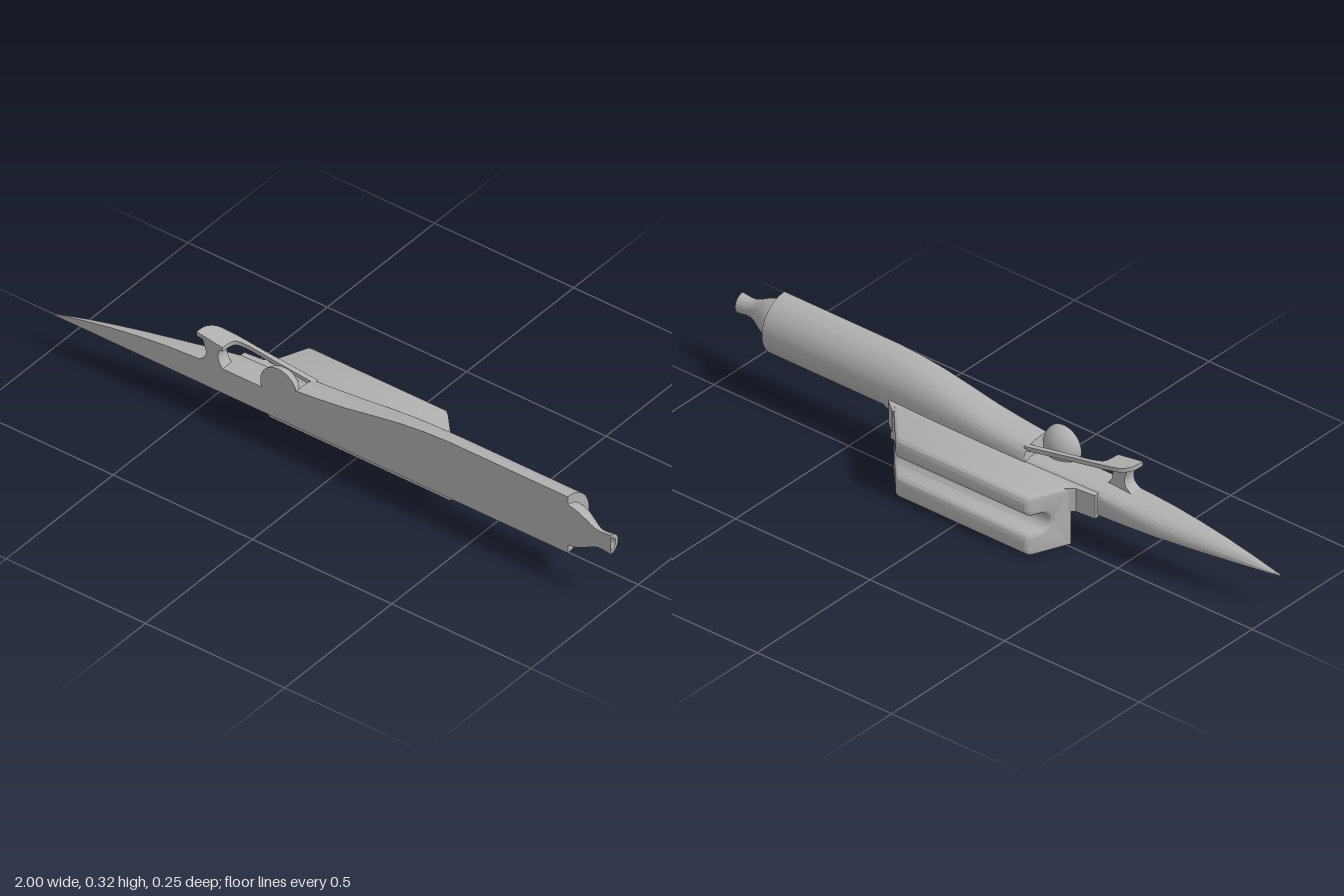
import * as THREE from 'three';
import { toCreasedNormals } from 'three/addons/utils/BufferGeometryUtils.js';

const CUT = 0.127; // flat centre plane of the half hull
const BASE = 0.117;

// hull stations: x, top y, half width, height of widest line, upper and lower roundness
const stations = [
  [-1.0, 0.122, 0.003, 0.119, 2, 4],
  [-0.9, 0.145, 0.026, 0.125, 2, 5],
  [-0.8, 0.165, 0.046, 0.13, 2, 6],
  [-0.7, 0.181, 0.064, 0.135, 2.1, 7],
  [-0.6, 0.193, 0.08, 0.14, 2.3, 8],
  [-0.5, 0.2, 0.092, 0.15, 3, 8],
  [-0.4, 0.204, 0.1, 0.155, 5, 8],
  [-0.136, 0.204, 0.103, 0.155, 7, 8],
  [-0.13, 0.246, 0.103, 0.17, 3.6, 8],
  [-0.05, 0.254, 0.104, 0.175, 3.4, 8],
  [0.05, 0.267, 0.104, 0.185, 3.1, 8],
  [0.15, 0.286, 0.104, 0.195, 2.7, 8],
  [0.25, 0.303, 0.103, 0.205, 2.3, 7],
  [0.33, 0.312, 0.101, 0.213, 2.1, 5],
  [0.42, 0.317, 0.1, 0.217, 2, 2],
  [0.845, 0.317, 0.1, 0.217, 2, 2],
];

// engine end: radius, x
const nozzle = [[0.1, 0.845], [0.071, 0.845], [0.069, 0.865], [0.062, 0.885], [0.05, 0.91],
  [0.038, 0.932], [0.031, 0.95], [0.03, 0.97], [0.034, 1], [0.022, 1], [0.02, 0.975], [0, 0.975]];

function hullGeometry() {
  const N = 40, pos = [], idx = [];
  for (const [x, top, w, mid, n, m] of stations) {
    for (let j = 0; j <= N; j++) {
      const a = (j / N) * Math.PI, c = Math.cos(a), s = Math.abs(Math.sin(a));
      const e = 2 / (c >= 0 ? n : m);
      const h = Math.pow(Math.abs(c), e);
      pos.push(x, c >= 0 ? mid + (top - mid) * h : mid - (mid - BASE) * h, CUT - w * Math.pow(s, e));
    }
  }
  for (let i = 0; i < stations.length - 1; i++) {
    for (let j = 0; j < N; j++) {
      const a = i * (N + 1) + j, b = a + N + 1;
      idx.push(a, b, a + 1, b, b + 1, a + 1);
    }
  }
  const g = new THREE.BufferGeometry();
  g.setAttribute('position', new THREE.Float32BufferAttribute(pos, 3));
  g.setIndex(idx);
  return toCreasedNormals(g, 0.6);
}

// flat side face following the hull and nozzle outline
function cutFaceGeometry() {
  const pts = stations.map(([x, top]) => new THREE.Vector2(x, top));
  const tail = nozzle.slice(1, 9);
  tail.forEach(([r, x]) => pts.push(new THREE.Vector2(x, 0.217 + r)));
  tail.reverse().forEach(([r, x]) => pts.push(new THREE.Vector2(x, 0.217 - r)));
  pts.push(new THREE.Vector2(0.845, BASE), new THREE.Vector2(-1, BASE));
  return new THREE.ShapeGeometry(new THREE.Shape(pts)).translate(0, 0, CUT);
}

// C-shaped section swept along x, with slanted ends
function podGeometry() {
  const b = 0.012, s = new THREE.Shape();
  const L = -0.012 + b, R = 0.125 - b, B = b, T = 0.197 - b;
  const n0 = 0.073 - b, n1 = 0.133 + b, r = 0.012;
  s.moveTo(L, B);
  s.lineTo(R - r, B);
  s.quadraticCurveTo(R, B, R, B + r);
  s.lineTo(R, n0 - r);
  s.quadraticCurveTo(R, n0, R - r, n0);
  s.lineTo(0.08, n0);
  s.bezierCurveTo(0.026, n0 + 0.005, 0.026, n1 - 0.005, 0.08, n1);
  s.lineTo(R - r, n1);
  s.quadraticCurveTo(R, n1, R, n1 + r);
  s.lineTo(R, T - r);
  s.quadraticCurveTo(R, T, R - r, T);
  s.lineTo(L, T);
  s.closePath();
  const len = 0.67;
  const g = new THREE.ExtrudeGeometry(s, {
    depth: len - 2 * b, bevelEnabled: true, bevelSize: b, bevelThickness: b, bevelSegments: 4, curveSegments: 10,
  });
  g.translate(0, 0, b).rotateY(Math.PI / 2);
  const p = g.attributes.position;
  for (let i = 0; i < p.count; i++) {
    const k = (0.012 - p.getZ(i)) / 0.137;
    p.setX(i, THREE.MathUtils.lerp(-0.325 + 0.06 * k, 0.345 - 0.125 * k, p.getX(i) / len));
  }
  return toCreasedNormals(g, 0.7);
}

// plan outline (x, z) extruded upwards
function planExtrude(points, height) {
  const s = new THREE.Shape(points.map(([x, z]) => new THREE.Vector2(x, -z)));
  return new THREE.ExtrudeGeometry(s, { depth: height, bevelEnabled: false }).rotateX(-Math.PI / 2);
}

export function createModel() {
  const group = new THREE.Group();
  const grey = new THREE.MeshStandardMaterial({ color: 0xb0b0b0, side: THREE.DoubleSide });
  grey.name = 'hull grey';
  const add = (name, geometry) => {
    const m = new THREE.Mesh(geometry, grey);
    m.name = name;
    group.add(m);
    return m;
  };

  add('hull', hullGeometry());
  add('hullSideFace', cutFaceGeometry());

  // half nozzle with the rim of the engine tube
  const lathe = new THREE.LatheGeometry(nozzle.map(([r, x]) => new THREE.Vector2(r, x)), 32, Math.PI / 2, Math.PI);
  add('nozzle', toCreasedNormals(lathe.rotateZ(-Math.PI / 2).translate(0, 0.217, CUT), 0.6));

  // side pod and the collar joining it to the hull
  add('sidePod', podGeometry());
  add('podCollar', planExtrude([[-0.4, 0.06], [-0.4, 0.018], [-0.335, 0.012], [-0.31, -0.01],
    [0.33, -0.01], [0.37, 0.022], [0.4, 0.06]], 0.078).translate(0, BASE, 0));
  const fillet = new THREE.Shape();
  fillet.moveTo(-0.035, BASE + 0.004);
  fillet.quadraticCurveTo(-0.016, BASE, -0.01, 0.098);
  fillet.lineTo(0.01, 0.098);
  fillet.lineTo(0.01, BASE + 0.004);
  add('podFillet', new THREE.ExtrudeGeometry(fillet, { depth: 0.65, bevelEnabled: false })
    .rotateY(Math.PI / 2).translate(-0.315, 0, 0));

  // half headrest dome with its flat side
  const dome = add('headrest', new THREE.SphereGeometry(0.065, 24, 18, Math.PI, Math.PI));
  dome.position.set(-0.194, 0.23, CUT);
  dome.scale.z = 0.8;
  add('headrestFace', new THREE.CircleGeometry(0.065, 32)).position.set(-0.194, 0.23, CUT);

  // sloping cockpit hoop
  const outer = new THREE.CatmullRomCurve3([[-0.488, CUT], [-0.484, 0.09], [-0.465, 0.067], [-0.42, 0.057],
    [-0.3, 0.05], [-0.12, 0.038]].map(([x, z]) => new THREE.Vector3(x, 0, z)));
  const inner = new THREE.CatmullRomCurve3([[-0.12, 0.056], [-0.25, 0.063], [-0.36, 0.069], [-0.387, 0.08],
    [-0.395, CUT]].map(([x, z]) => new THREE.Vector3(x, 0, z)));
  const ring = [...outer.getPoints(24), ...inner.getPoints(24)].map((v) => [v.x, v.z]);
  const hoop = planExtrude(ring, 0.014);
  const p = hoop.attributes.position;
  for (let i = 0; i < p.count; i++) p.setY(i, p.getY(i) + 0.279 - (p.getX(i) + 0.485) * 0.155);
  add('cockpitHoop', toCreasedNormals(hoop, 0.6));

  // flared post carrying the hoop
  const post = new THREE.Shape();
  post.moveTo(-0.5, 0.195);
  post.quadraticCurveTo(-0.445, 0.205, -0.455, 0.245);
  post.lineTo(-0.468, 0.282);
  post.lineTo(-0.4, 0.272);
  post.quadraticCurveTo(-0.425, 0.235, -0.39, 0.2);
  post.closePath();
  add('hoopPost', toCreasedNormals(new THREE.ExtrudeGeometry(post, { depth: 0.042, bevelEnabled: false })
    .translate(0, 0, CUT - 0.042), 0.6));

  return group;
}
